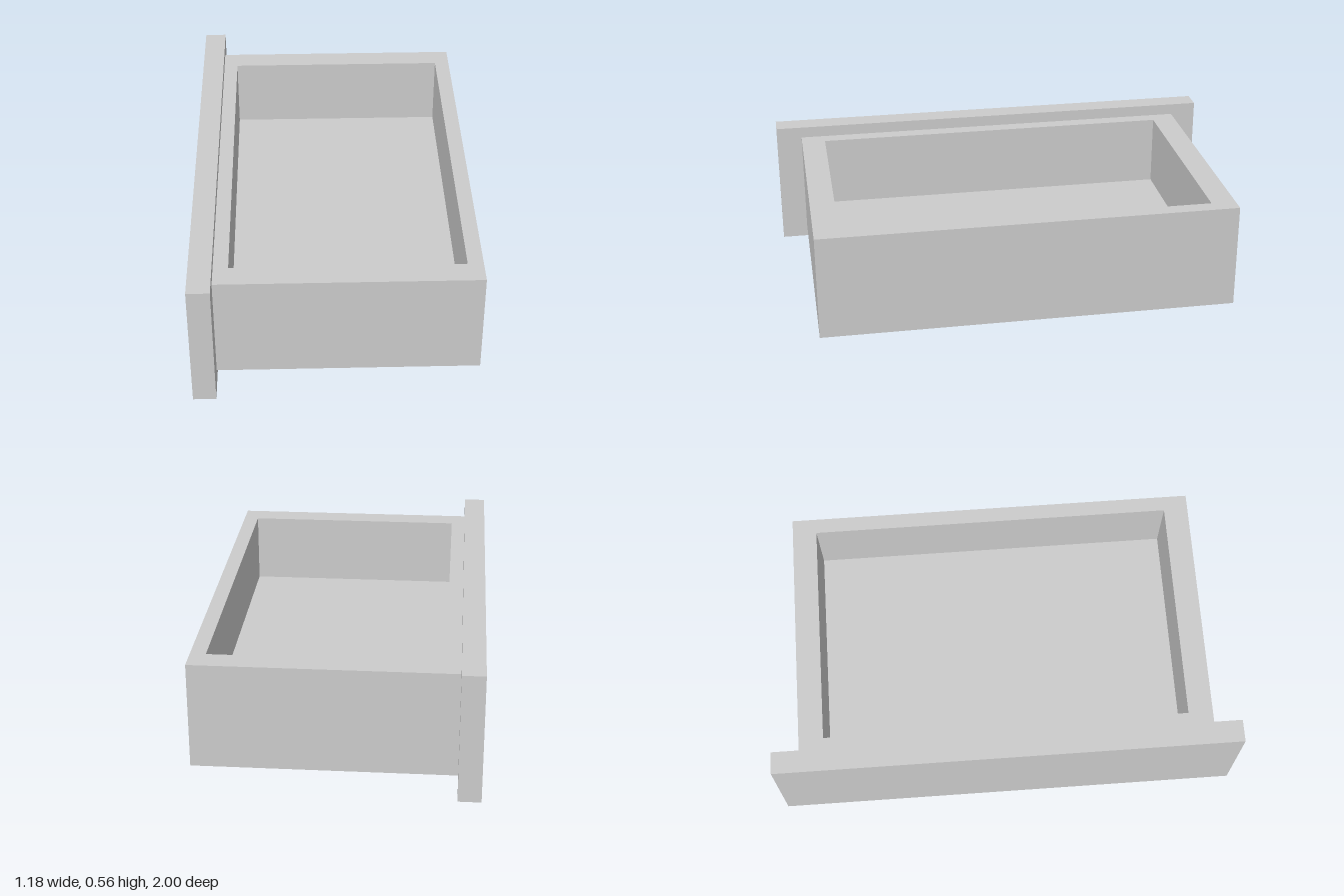
import * as THREE from 'three';

const material = new THREE.MeshStandardMaterial({ color: 0xcccccc, flatShading: true });

// Box given by its lower and upper corners
function block(name, [x0, y0, z0], [x1, y1, z1]) {
  const geometry = new THREE.BoxGeometry(x1 - x0, y1 - y0, z1 - z0);
  geometry.translate((x0 + x1) / 2, (y0 + y1) / 2, (z0 + z1) / 2);
  const mesh = new THREE.Mesh(geometry, material);
  mesh.name = name;
  return mesh;
}

// Closed rectangle as a list of points
function rectangle(x0, x1, halfDepth) {
  return [[x0, -halfDepth], [x1, -halfDepth], [x1, halfDepth], [x0, halfDepth]]
    .map(([x, z]) => new THREE.Vector2(x, z));
}

export function createModel() {
  const model = new THREE.Group();
  model.name = 'drawer';

  const panelBack = -0.495, end = 0.59;
  const bottom = 0.053, top = 0.506, floorTop = 0.195;
  const innerLeft = -0.433, innerRight = 0.525, innerHalf = 0.782;

  // Wide face panel, overhanging the tray all round
  model.add(block('facePanel', [-0.59, 0, -1], [panelBack, 0.555, 1]));

  // Four tray walls as one rectangular ring
  const ring = new THREE.Shape(rectangle(panelBack, end, 0.887));
  ring.holes.push(new THREE.Path(rectangle(innerLeft, innerRight, innerHalf)));
  const wallGeometry = new THREE.ExtrudeGeometry(ring, { depth: top - bottom, bevelEnabled: false });
  wallGeometry.rotateX(-Math.PI / 2).translate(0, bottom, 0);
  const walls = new THREE.Mesh(wallGeometry, material);
  walls.name = 'trayWalls';
  model.add(walls);

  // Thick floor filling the lower part of the ring
  model.add(block('trayFloor', [innerLeft, bottom, -innerHalf], [innerRight, floorTop, innerHalf]));

  return model;
}
